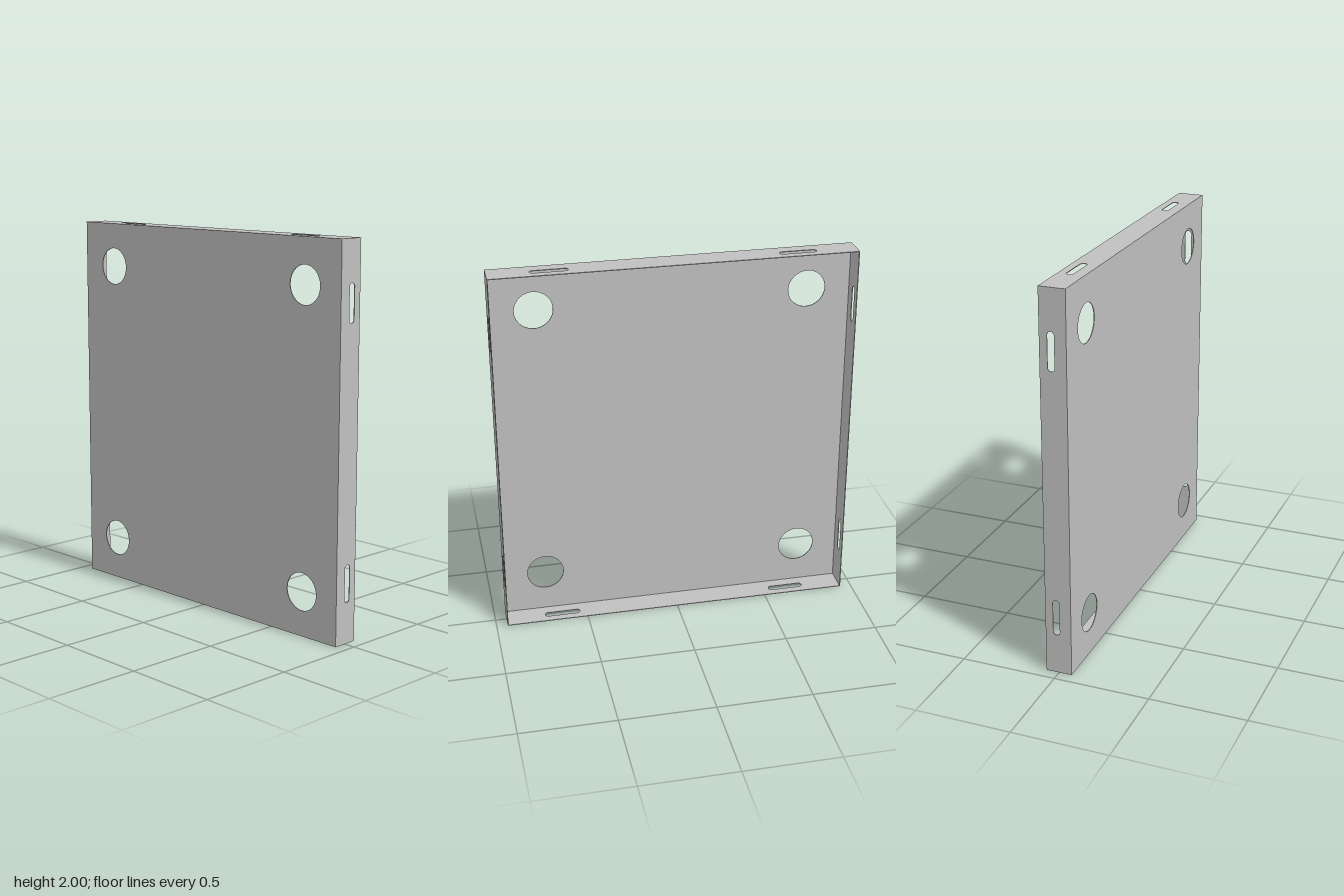
import * as THREE from 'three';

const HALF_W = 0.94, HEIGHT = 2, HALF_D = 0.068, T = 0.004;

function rect(x0, y0, x1, y1) {
  return new THREE.Shape([[x0, y0], [x1, y0], [x1, y1], [x0, y1]].map(p => new THREE.Vector2(...p)));
}

// Round-ended slot running along x
function slot(cx, cy, length, width) {
  const r = width / 2, d = length / 2 - r;
  const path = new THREE.Path();
  path.absarc(cx + d, cy, r, -Math.PI / 2, Math.PI / 2, false);
  path.absarc(cx - d, cy, r, Math.PI / 2, Math.PI * 1.5, false);
  path.closePath();
  return path;
}

function sheet(shape, material, name) {
  const geometry = new THREE.ExtrudeGeometry(shape, { depth: T, bevelEnabled: false, curveSegments: 24 });
  const mesh = new THREE.Mesh(geometry, material);
  mesh.name = name;
  return mesh;
}

export function createModel() {
  const group = new THREE.Group();
  group.name = 'tray';
  const metal = new THREE.MeshStandardMaterial({ color: 0xc0c0c0 });
  metal.name = 'grey metal';

  // Front panel with four round holes
  const face = rect(-HALF_W, 0, HALF_W, HEIGHT);
  for (const x of [-0.708, 0.708]) {
    for (const y of [0.232, 1.768]) {
      face.holes.push(new THREE.Path().absarc(x, y, 0.098, 0, Math.PI * 2, true));
    }
  }
  const panel = sheet(face, metal, 'frontPanel');
  panel.position.z = HALF_D - T;
  group.add(panel);

  // Flange drawn with length on x and depth on y, two slots each
  const flange = (x0, x1, slots, name) => {
    const shape = rect(x0, -HALF_D, x1, HALF_D - T);
    for (const s of slots) shape.holes.push(slot(s, -0.01, 0.193, 0.035));
    return sheet(shape, metal, name);
  };

  // Top and bottom flanges
  for (const [name, y] of [['topFlange', HEIGHT], ['bottomFlange', T]]) {
    const wall = flange(-HALF_W + T, HALF_W - T, [-0.632, 0.632], name);
    wall.rotation.x = Math.PI / 2;
    wall.position.y = y;
    group.add(wall);
  }

  // Side flanges: length goes up, depth goes to z
  const upright = new THREE.Matrix4().makeBasis(
    new THREE.Vector3(0, 1, 0), new THREE.Vector3(0, 0, 1), new THREE.Vector3(1, 0, 0));
  for (const [name, x] of [['leftFlange', HALF_W - T], ['rightFlange', -HALF_W]]) {
    const wall = flange(0, HEIGHT, [0.308, 1.692], name);
    wall.quaternion.setFromRotationMatrix(upright);
    wall.position.x = x;
    group.add(wall);
  }
  return group;
}
